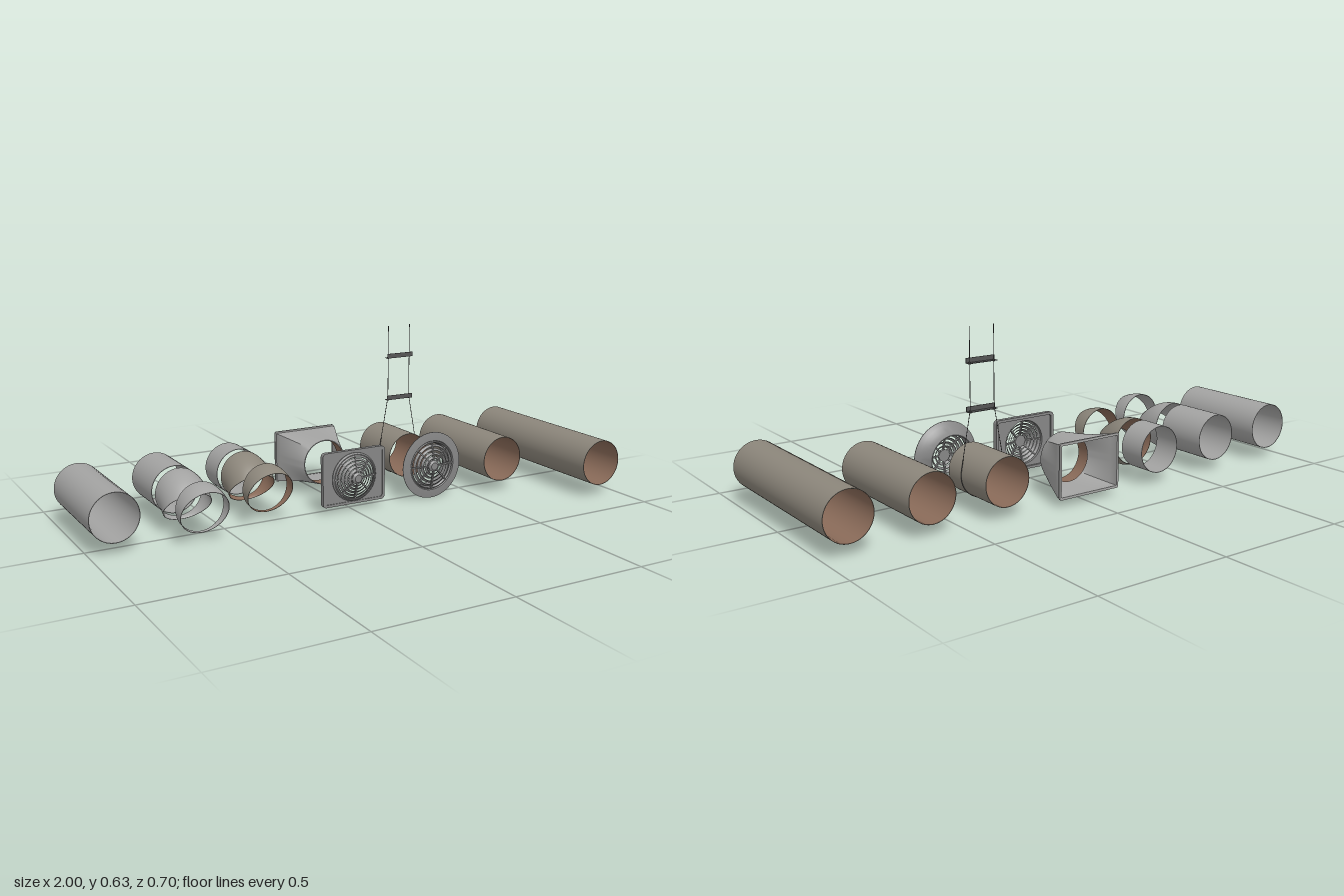
import * as THREE from 'three';
import { mergeGeometries, toCreasedNormals } from 'three/addons/utils/BufferGeometryUtils.js';

const R = 0.087, WALL = 0.0018, CY = 0.1315, SEG = 64;

export function createModel() {
  const root = new THREE.Group();
  root.name = 'ventilationDuctSet';
  const mat = (name, color) => Object.assign(new THREE.MeshStandardMaterial({ color }), { name });
  const steel = mat('galvanised steel', 0xa3a3a2);
  const taupe = mat('taupe coating', 0x8c867b);
  const lining = mat('brown lining', 0x8a6b59);
  const grey = mat('vent grey', 0x868686);
  const dark = mat('hanger grey', 0x555555);

  const group = (name, x, parent = root) => {
    const g = new THREE.Group();
    g.name = name;
    g.position.set(x, CY, 0);
    parent.add(g);
    return g;
  };
  const add = (parent, name, geo, material) => {
    const m = new THREE.Mesh(geo, material);
    m.name = name;
    parent.add(m);
    return m;
  };

  // Lathe around z; every profile segment keeps its own sharp edge. Points are [radius, z].
  const lathe = (pts, seg = SEG) => mergeGeometries(pts.slice(1).map((p, i) =>
    new THREE.LatheGeometry([new THREE.Vector2(...pts[i]), new THREE.Vector2(...p)], seg))).rotateX(Math.PI / 2);
  const flip = (geo) => {
    const a = geo.index.array;
    for (let i = 0; i < a.length; i += 3) [a[i], a[i + 2]] = [a[i + 2], a[i]];
    const n = geo.attributes.normal.array;
    for (let i = 0; i < n.length; i++) n[i] *= -1;
    return geo;
  };

  // Straight duct with a separate inner surface
  const duct = (parent, name, z0, z1, outer, inner) => {
    const r = R - WALL;
    add(parent, name, lathe([[r, z0], [R, z0], [R, z1], [r, z1]]), outer);
    add(parent, name + 'Lining', lathe([[r, z1], [r, z0]]), inner);
  };

  // Elbow segment: a short torus arc turning from forwards to downwards
  const BEND = 0.113;
  const basis = new THREE.Matrix4().makeBasis(
    new THREE.Vector3(0, 1, 0), new THREE.Vector3(0, 0, 1), new THREE.Vector3(1, 0, 0));
  const elbow = (parent, name, z, angle, outer, inner) => {
    const g = new THREE.Group();
    g.name = name;
    g.position.set(0, -BEND, z);
    parent.add(g);
    const arc = (r) => new THREE.TorusGeometry(BEND, r, SEG, 12, angle).applyMatrix4(basis);
    add(g, name + 'Shell', arc(R), outer);
    add(g, name + 'Lining', flip(arc(R - WALL)), inner);
    const rim = () => new THREE.RingGeometry(R - WALL, R, SEG).translate(0, BEND, 0);
    add(g, name + 'Rims', mergeGeometries([rim().rotateX(angle), flip(rim())]), outer);
  };

  // Rounded rectangle outline
  const roundRect = (w, h, r, Type = THREE.Shape) => {
    const s = new Type();
    s.moveTo(-w + r, -h);
    s.lineTo(w - r, -h).absarc(w - r, -h + r, r, -Math.PI / 2, 0);
    s.lineTo(w, h - r).absarc(w - r, h - r, r, 0, Math.PI / 2);
    s.lineTo(-w + r, h).absarc(-w + r, h - r, r, Math.PI / 2, Math.PI);
    s.lineTo(-w, -h + r).absarc(-w + r, -h + r, r, Math.PI, Math.PI * 1.5);
    return s;
  };
  const plate = (shape, hole, z0, z1) => {
    shape.holes.push(hole);
    return new THREE.ExtrudeGeometry(shape, { depth: z1 - z0, bevelEnabled: false, curveSegments: 24 }).translate(0, 0, z0);
  };

  // Louvred round grille: slanted rings, eight spokes and a hub
  const grille = (parent, radius, zBase, zTop) => {
    const rings = [];
    const n = 5, rise = zTop - zBase - 0.006;
    for (let i = 0; i < n; i++) {
      const r = radius - (radius - 0.022) * i / n;
      const z = zBase + rise * i / n + 0.004;
      rings.push(lathe([[r, z - 0.008], [r - 0.007, z], [r - 0.009, z], [r - 0.002, z - 0.008], [r, z - 0.008]], 48));
    }
    add(parent, 'grilleLouvres', mergeGeometries(rings), grey);
    const spokes = [];
    const tilt = Math.atan2(rise, radius - 0.02);
    for (let i = 0; i < 8; i++) {
      spokes.push(new THREE.BoxGeometry(radius - 0.012, 0.005, 0.009).rotateY(tilt)
        .translate((radius + 0.008) / 2, 0, zBase + rise / 2 - 0.002).rotateZ(i * Math.PI / 4));
    }
    add(parent, 'grilleSpokes', mergeGeometries(spokes), grey);
    add(parent, 'grilleHub', lathe([[0, zTop - 0.016], [0.022, zTop - 0.016], [0.022, zTop - 0.006],
      [0.014, zTop], [0, zTop]], 32), grey);
  };

  // Plain ducts
  duct(group('shortSteelDuct', -0.913), 'steelDuct', -0.333, 0.072, steel, steel);
  duct(group('mediumCoatedDuct', 0.62), 'coatedDuct', -0.333, 0.117, taupe, lining);
  duct(group('longCoatedDuct', 0.913), 'longDuct', -0.333, 0.35, taupe, lining);

  // Elbow sets
  const steelElbows = group('steelElbowSet', -0.627);
  duct(steelElbows, 'steelSleeve', -0.333, -0.13, steel, steel);
  elbow(steelElbows, 'wideElbow', -0.096, Math.PI / 4, steel, steel);
  elbow(steelElbows, 'narrowElbow', 0.096, 0.42, steel, steel);
  const coatedElbows = group('coatedElbowSet', -0.34);
  duct(coatedElbows, 'steelCollar', -0.333, -0.225, steel, steel);
  elbow(coatedElbows, 'wideElbow', -0.19, Math.PI / 4, taupe, lining);
  elbow(coatedElbows, 'narrowElbow', 0, 0.42, taupe, lining);

  // Rectangular hood: loops blend from a circle to a rectangle
  const hood = group('rectangularHood', 0);
  const loft = (inset) => {
    const rows = 12, cols = 64, pos = [], idx = [];
    for (let i = 0; i <= rows; i++) {
      const t = Math.min(1, i / (rows - 1));
      const z = i === rows ? -0.344 : -0.182 - 0.148 * t;
      const grow = Math.pow(t, 0.8);
      for (let j = 0; j < cols; j++) {
        const a = j / cols * Math.PI * 2, c = Math.cos(a), s = Math.sin(a);
        const m = Math.max(Math.abs(c), Math.abs(s));
        const w = THREE.MathUtils.lerp(R, 0.125, grow) - inset;
        const h = THREE.MathUtils.lerp(R, 0.094, grow) - inset;
        const k = THREE.MathUtils.lerp(1, 1 / m, grow);
        pos.push(c * k * w, s * k * h, z);
        if (i < rows) {
          const p = i * cols + j, q = i * cols + (j + 1) % cols;
          idx.push(p, p + cols, q, q, p + cols, q + cols);
        }
      }
    }
    const g = new THREE.BufferGeometry();
    g.setAttribute('position', new THREE.Float32BufferAttribute(pos, 3));
    g.setIndex(idx);
    g.computeVertexNormals();
    return g;
  };
  add(hood, 'hoodShell', toCreasedNormals(loft(0), 0.7), steel);
  add(hood, 'hoodInside', toCreasedNormals(flip(loft(0.002)), 0.7), steel);
  add(hood, 'hoodFlange', plate(roundRect(0.13, 0.1, 0.008),
    roundRect(0.122, 0.091, 0.003, THREE.Path), -0.35, -0.343), steel);
  add(hood, 'hoodSleeve', lathe([[0.084, -0.182], [0.084, -0.235]]), lining);
  add(hood, 'hoodMouthRim', lathe([[R, -0.182], [0.084, -0.182]]), steel);

  // Rectangular wall vent
  const vent = group('rectangularVent', 0);
  const hole = new THREE.Path().absarc(0, 0, 0.086, 0, Math.PI * 2);
  add(vent, 'ventPlate', plate(roundRect(0.126, 0.097, 0.012), hole, 0.036, 0.043), grey);
  add(vent, 'ventFrame', plate(roundRect(0.13, 0.102, 0.014),
    roundRect(0.12, 0.092, 0.01, THREE.Path), 0.028, 0.046), grey);
  add(vent, 'ventCollar', lathe([[0.086, 0.036], [0.091, 0.036], [0.091, 0.046], [0.086, 0.052],
    [0.083, 0.052], [0.083, 0.036], [0.086, 0.036]]), grey);
  grille(vent, 0.084, 0.05, 0.076);

  // Suspended duct with a flared round vent
  const hung = group('suspendedDuct', 0.333);
  duct(hung, 'hungDuct', -0.333, -0.108, taupe, lining);
  const round = group('roundVent', 0.333);
  add(round, 'flare', toCreasedNormals(lathe([[0.084, 0.003], [R, 0.003], [0.092, 0.016], [0.101, 0.03],
    [0.113, 0.042], [0.128, 0.052], [0.128, 0.054], [0.099, 0.058], [0.096, 0.058],
    [0.084, 0.045], [0.084, 0.003]]), 0.4), grey);
  grille(round, 0.097, 0.054, 0.076);

  // Hanger: a wire sling with two angle bars
  const hanger = new THREE.Group();
  hanger.name = 'hanger';
  hanger.position.set(0.333, 0, -0.186);
  root.add(hanger);
  const wire = (a, b) => new THREE.TubeGeometry(
    new THREE.LineCurve3(new THREE.Vector3(...a), new THREE.Vector3(...b)), 1, 0.0012, 8);
  for (const s of [-1, 1]) {
    add(hanger, 'hangerRod', wire([s * 0.048, 0.635, 0], [s * 0.048, 0.355, 0]), dark);
    add(hanger, 'slingWire', wire([s * 0.048, 0.355, 0], [s * 0.0868, 0.145, 0]), dark);
  }
  add(hanger, 'slingLoop', new THREE.TorusGeometry(R + 0.0005, 0.0012, 8, 48, Math.PI + 0.3)
    .rotateZ(Math.PI - 0.15).translate(0, CY, 0), dark);
  for (const y of [0.346, 0.511]) {
    add(hanger, 'barBase', new THREE.BoxGeometry(0.115, 0.002, 0.017).translate(0, y, 0.001), dark);
    add(hanger, 'barWall', new THREE.BoxGeometry(0.115, 0.017, 0.002).translate(0, y + 0.0085, 0.0095), dark);
    for (const s of [-1, 1]) {
      add(hanger, 'nut', new THREE.CylinderGeometry(0.004, 0.004, 0.007, 6).translate(s * 0.048, y, 0), dark);
    }
  }
  return root;
}
